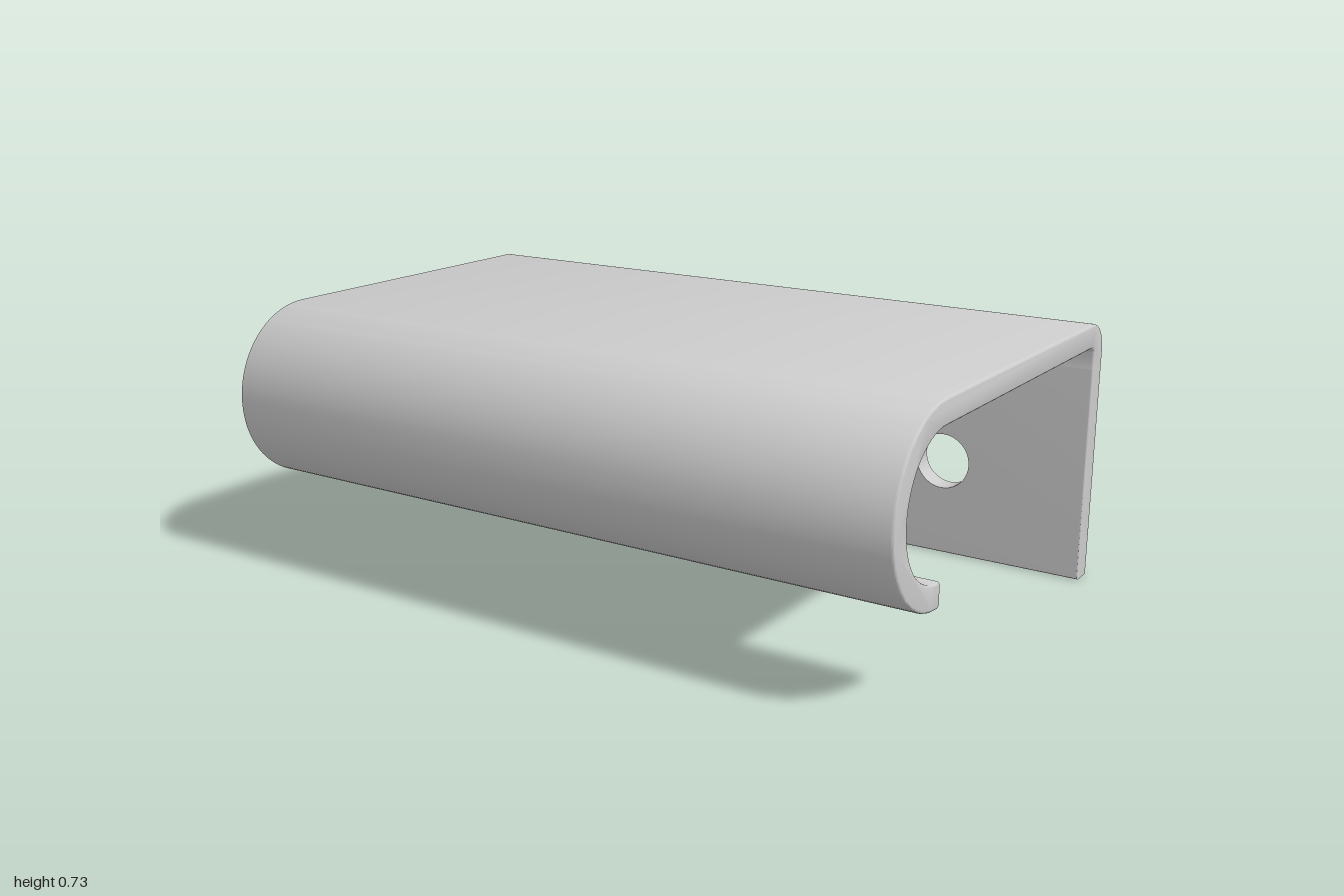
import * as THREE from 'three';
import { toCreasedNormals } from 'three/addons/utils/BufferGeometryUtils.js';

const HALF = 1;          // half length along x
const TOP = 0.727;       // overall height
const BACK = 0.625;      // half depth
const T = 0.066;         // sheet thickness
const B = 0.006;         // edge rounding
const JOIN = 0.6;        // height where the back plate meets the bend
const HOLE = { x: 0.58, y: 0.275, r: 0.08 };

// Extrude with rounded edges, centred along its depth
function extrudeRounded(shape, depth) {
  const geo = new THREE.ExtrudeGeometry(shape, {
    depth: depth - 2 * B, curveSegments: 20,
    bevelEnabled: true, bevelSize: B, bevelThickness: B, bevelOffset: -B, bevelSegments: 3,
  });
  return geo.translate(0, 0, B - depth / 2);
}

function moveVertices(geo, rule) {
  const pos = geo.attributes.position;
  const v = new THREE.Vector3();
  for (let i = 0; i < pos.count; i++) {
    rule(v.fromBufferAttribute(pos, i));
    pos.setXYZ(i, v.x, v.y, v.z);
  }
  return geo;
}

function makeMesh(name, geo, material) {
  const mesh = new THREE.Mesh(toCreasedNormals(geo, 0.65), material);
  mesh.name = name;
  return mesh;
}

// Side profile of the top sheet: back bend, flat top, curled front lip
function hookGeometry() {
  const R = 0.25, cu = -(BACK - R), cy = TOP - R;
  const bend = 0.085, inner = 0.02;
  const s = new THREE.Shape();
  s.moveTo(BACK, JOIN);
  s.lineTo(BACK, TOP - bend);
  s.absarc(BACK - bend, TOP - bend, bend, 0, Math.PI / 2, false);
  s.lineTo(cu, TOP);
  s.absarc(cu, cy, R, Math.PI / 2, Math.PI * 1.5, false);
  s.lineTo(cu + B, cy - R + B);
  s.lineTo(cu + B, cy - R + T - B);
  s.lineTo(cu, cy - R + T);
  s.absarc(cu, cy, R - T, Math.PI * 1.5, Math.PI / 2, true);
  s.lineTo(BACK - T - inner, TOP - T);
  s.absarc(BACK - T - inner, TOP - T - inner, inner, Math.PI / 2, 0, true);
  s.lineTo(BACK - T, JOIN);
  s.closePath();
  const geo = extrudeRounded(s, 2 * HALF);
  // Keep the seam with the back plate flush
  moveVertices(geo, (v) => {
    if (v.x > 0.5 && v.y < JOIN + 2 * B) v.y = JOIN;
  });
  return geo.rotateY(Math.PI / 2);
}

// Upright plate with two straight screw holes
function plateGeometry() {
  const s = new THREE.Shape();
  s.moveTo(-HALF, 0);
  s.lineTo(HALF, 0);
  s.lineTo(HALF, JOIN);
  s.lineTo(-HALF, JOIN);
  s.closePath();
  for (const side of [-1, 1]) {
    s.holes.push(new THREE.Path().absarc(side * HOLE.x, HOLE.y, HOLE.r, 0, Math.PI * 2, true));
  }
  const geo = extrudeRounded(s, T);
  // Flush seam on top, straight walls in the holes
  moveVertices(geo, (v) => {
    if (v.y > JOIN - 2 * B) v.y = JOIN;
    const cx = Math.sign(v.x) * HOLE.x;
    const d = Math.hypot(v.x - cx, v.y - HOLE.y);
    if (d < HOLE.r + 2 * B) {
      v.x = cx + (v.x - cx) * HOLE.r / d;
      v.y = HOLE.y + (v.y - HOLE.y) * HOLE.r / d;
    }
  });
  return geo.translate(0, 0, -BACK + T / 2);
}

export function createModel() {
  const group = new THREE.Group();
  group.name = 'hookBracket';
  const material = new THREE.MeshStandardMaterial({ color: 0xcccccc });
  group.add(makeMesh('curledTop', hookGeometry(), material));
  group.add(makeMesh('backPlate', plateGeometry(), material));
  return group;
}
